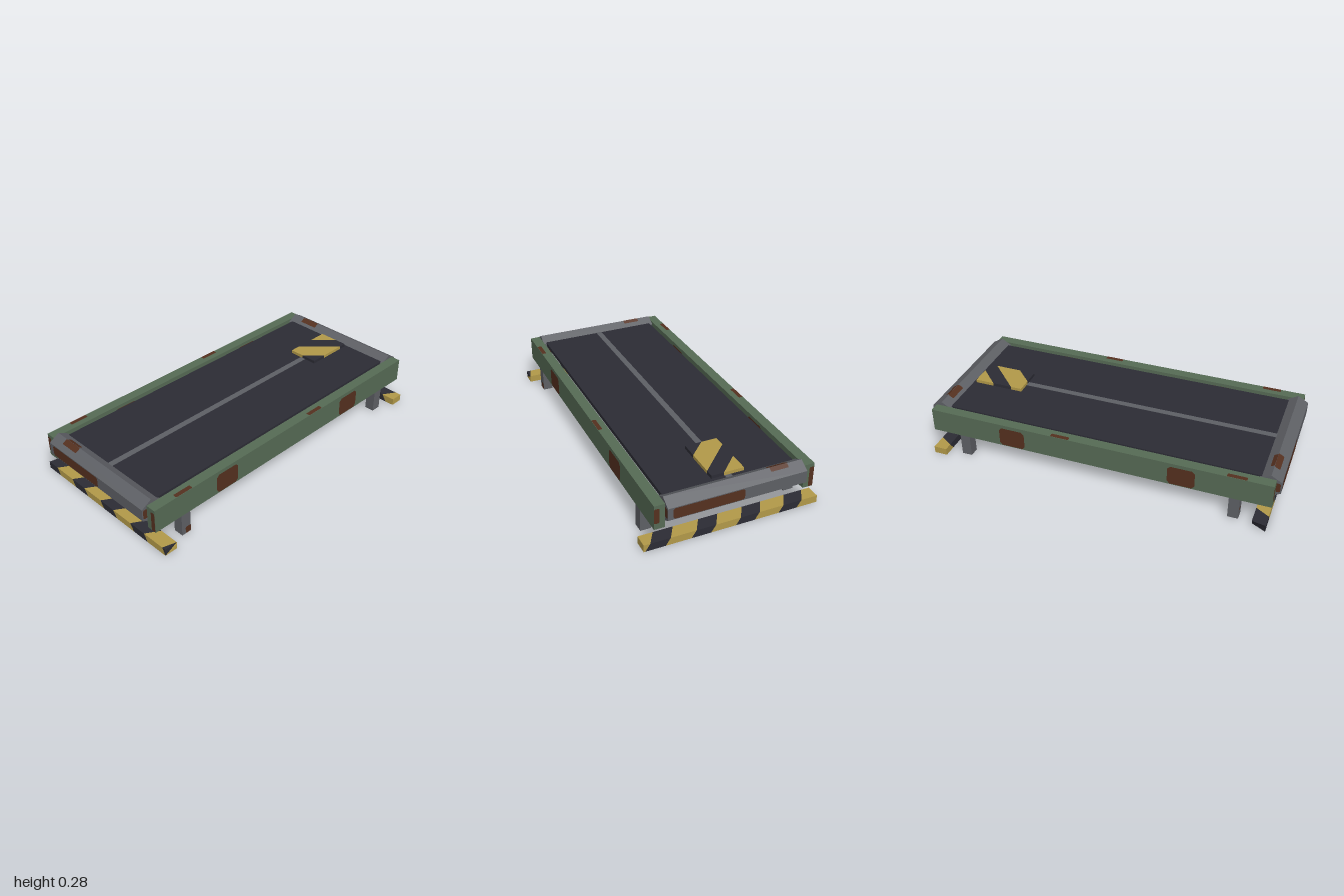
import * as THREE from 'three';

const mat = (name, color) => {
  const m = new THREE.MeshStandardMaterial({ color });
  m.name = name;
  return m;
};

export function createModel() {
  const model = new THREE.Group();
  model.name = 'conveyor';
  const green = mat('green paint', 0x566b55);
  const steel = mat('grey steel', 0x5e6065);
  const rubber = mat('dark rubber', 0x2c2c35);
  const yellow = mat('warning yellow', 0xb39a49);
  const rust = mat('rust', 0x55301f);

  const add = (name, geometry, material, x = 0, y = 0, z = 0) => {
    const mesh = new THREE.Mesh(geometry, material);
    mesh.name = name;
    mesh.position.set(x, y, z);
    model.add(mesh);
    return mesh;
  };
  const box = (name, material, x0, x1, y0, y1, z0, z1) =>
    add(name, new THREE.BoxGeometry(x1 - x0, y1 - y0, z1 - z0), material,
      (x0 + x1) / 2, (y0 + y1) / 2, (z0 + z1) / 2);

  // Thin rust patch with clipped corners, facing +z before rotation
  const patch = (w, h, x, y, z, rx = 0, ry = 0) => {
    const a = w / 2, b = h / 2, c = Math.min(w, h) * 0.14;
    const shape = new THREE.Shape([
      [-a + c, -b], [a - c, -b], [a, -b + c], [a, b - c],
      [a - c, b], [-a + c, b], [-a, b - c], [-a, -b + c],
    ].map(p => new THREE.Vector2(...p)));
    add('rustPatch', new THREE.ShapeGeometry(shape), rust, x, y, z).rotation.set(rx, ry, 0);
  };
  const e = 0.0012;
  const quarter = Math.PI / 2;

  // Side rails with rust on the outer, inner, top and end faces
  for (const s of [-1, 1]) {
    const inner = 0.38, outer = 0.437;
    const [x0, x1] = s > 0 ? [inner, outer] : [-outer, -inner];
    box('sideRail', green, x0, x1, 0.127, 0.263, -0.972, 0.972);
    for (const z of [0.489, -0.48]) {
      patch(0.15, 0.112, s * (outer + e), 0.187, z, 0, s * quarter);
      patch(0.15, 0.112, s * (inner - e), 0.187, z, 0, -s * quarter);
    }
    for (const z of [-0.195, 0.78]) patch(0.024, 0.105, s * 0.424, 0.263 + e, z, -quarter);
    for (const f of [-1, 1]) {
      patch(0.026, s * f > 0 ? 0.115 : 0.085, s * 0.423, s * f > 0 ? 0.187 : 0.203,
        f * (0.972 + e), 0, f > 0 ? 0 : Math.PI);
      // Legs
      box('leg', steel, x0, x1, 0, 0.127, f * 0.778 - 0.029, f * 0.778 + 0.029);
    }
  }
  patch(0.035, 0.04, 0.437 + e, 0.022, 0.767, 0, quarter);
  patch(0.015, 0.03, -0.418, 0.055, 0.807 + e);

  // Six-sided end rollers
  const R = 0.068, rollerY = 0.215, apothem = R * Math.cos(Math.PI / 6);
  for (const f of [-1, 1]) {
    const zc = f * (1 - apothem);
    const geo = new THREE.CylinderGeometry(R, R, 0.756, 6, 1, false, quarter)
      .rotateZ(quarter).toNonIndexed();
    geo.computeVertexNormals();
    add('endRoller', geo, steel, 0, rollerY, zc);
    // Rust on the upright faces
    for (const d of [-1, 1])
      patch(0.38, 0.06, -d * 0.16, rollerY, zc + d * (apothem + e), 0, d > 0 ? 0 : Math.PI);
    // Rust on the sloping faces, given by their tilt above or below level
    for (const [tilt, w, h, shift] of [
      [Math.PI / 3, 0.115, 0.034, 0.017], [2 * Math.PI / 3, 0.1, 0.024, -0.022],
      [-Math.PI / 3, 0.11, 0.026, -0.021]]) {
      const d = apothem + e;
      patch(w, h, -0.243,
        rollerY + Math.sin(tilt) * d + Math.cos(tilt) * shift,
        zc + Math.cos(tilt) * d - Math.sin(tilt) * shift, -tilt);
    }
    for (const s of [-1, 1])
      patch(0.045, 0.055, s * (0.378 + e / 2), rollerY, f * 0.972, 0, s * quarter);
  }

  // Belt and its centre line, seen on both faces
  box('belt', rubber, -0.36, 0.36, 0.232, 0.255, -0.9, 0.9);
  box('beltCentreLine', steel, -0.017, 0.017, 0.2305, 0.2565, -0.899, 0.899);

  // Striped warning plate, points as x and z
  const plate = [
    [yellow, [[-0.09, -0.875], [0.021, -0.875], [-0.09, -0.764]]],
    [rubber, [[0.021, -0.875], [0.09, -0.875], [0.09, -0.83], [-0.09, -0.65], [-0.09, -0.764]]],
    [yellow, [[0.09, -0.83], [0.09, -0.678], [-0.003, -0.585], [-0.09, -0.585], [-0.09, -0.65]]],
    [rubber, [[0.09, -0.678], [0.09, -0.585], [-0.003, -0.585]]],
  ];
  for (const [material, pts] of plate) {
    const shape = new THREE.Shape(pts.map(([x, z]) => new THREE.Vector2(x, -z)));
    const geo = new THREE.ExtrudeGeometry(shape, { depth: 0.018, bevelEnabled: false });
    add('warningPlate', geo.rotateX(-quarter), material, 0, 0.256, 0);
  }

  // Bumper bars: slanted slices of alternating colour
  const half = 0.485, period = 0.245, band = 0.138;
  const slice = (material, a, b, zc, zRef) => {
    const geo = new THREE.BoxGeometry(1, 0.04, 0.075).translate(0, 0.02, zc);
    const p = geo.attributes.position;
    for (let i = 0; i < p.count; i++) {
      const x = (p.getX(i) < 0 ? a : b) + 0.65 * (0.04 - p.getY(i)) - 0.6 * (p.getZ(i) - zRef);
      p.setX(i, THREE.MathUtils.clamp(x, -half, half));
    }
    geo.computeVertexNormals();
    add('bumperBar', geo, material);
  };
  for (const [zc, zRef, start] of [[0.9225, 0.96, -0.41], [-0.9225, -0.96, -0.53]]) {
    for (let k = -1; k < 5; k++) {
      const a = start + k * period;
      if (a < half && a + band > -half - 0.03) slice(yellow, a, a + band, zc, zRef);
      if (a + band < half && a + period > -half - 0.03) slice(rubber, a + band, a + period, zc, zRef);
    }
  }
  return model;
}
